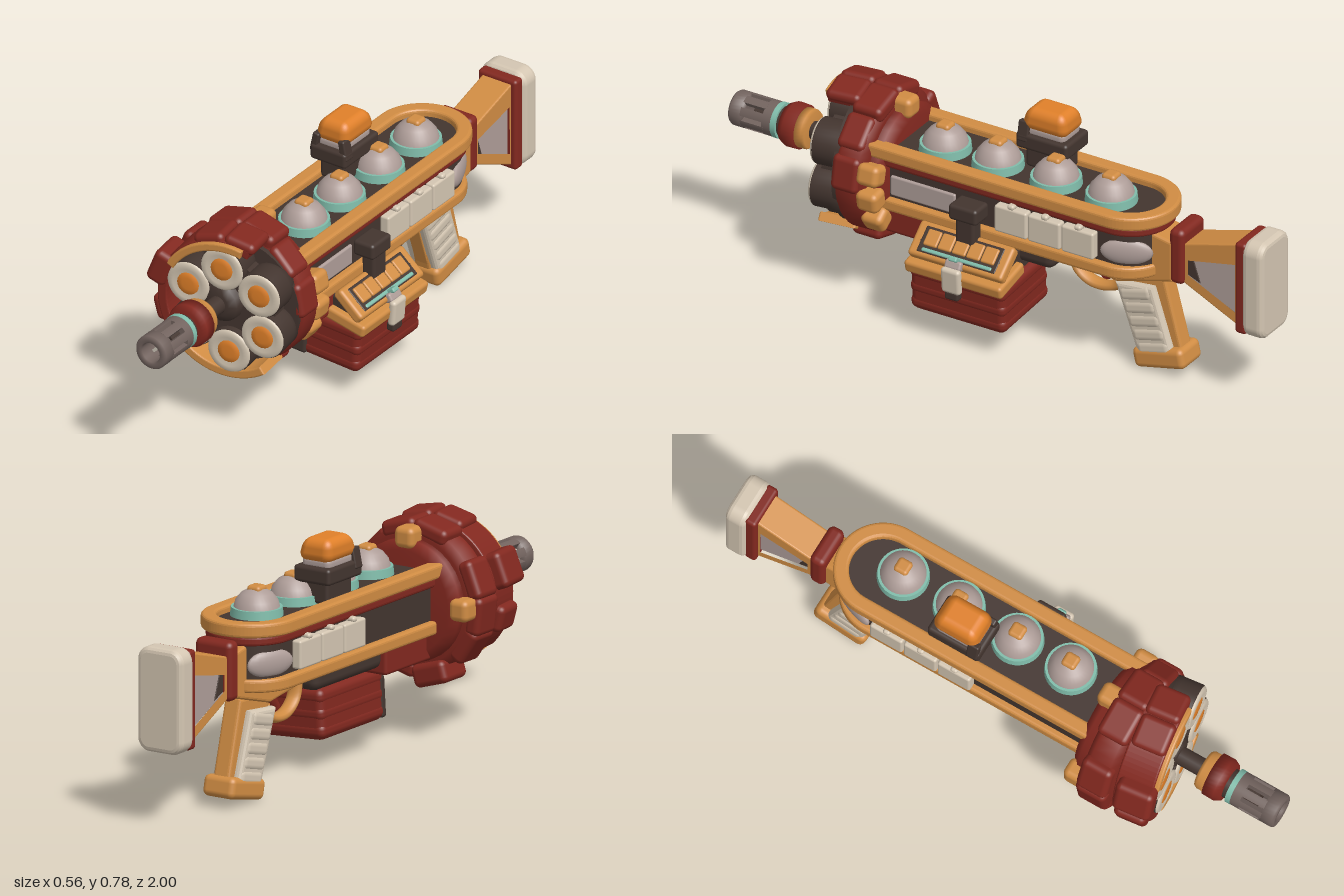
import * as THREE from 'three';
import { RoundedBoxGeometry } from 'three/addons/geometries/RoundedBoxGeometry.js';

const paint = (name, color) => Object.assign(new THREE.MeshStandardMaterial({ color }), { name });
const red = paint('brick red', 0x82281f);
const wood = paint('ochre', 0xd08c43);
const orange = paint('bright orange', 0xe08029);
const dark = paint('dark brown', 0x43352f);
const cream = paint('cream', 0xd4c6b2);
const grey = paint('mauve grey', 0xae9d98);
const steel = paint('gun steel', 0x72635e);
const teal = paint('teal', 0x80bcaa);

function add(parent, name, geo, mat, p = [0, 0, 0], r = [0, 0, 0]) {
  const m = new THREE.Mesh(geo, mat);
  m.name = name;
  m.position.set(...p);
  m.rotation.set(...r);
  parent.add(m);
  return m;
}
function group(parent, name, p = [0, 0, 0], r = [0, 0, 0]) {
  const g = new THREE.Group();
  g.name = name;
  g.position.set(...p);
  g.rotation.set(...r);
  parent.add(g);
  return g;
}
const box = (w, h, d, r = 0.012) => new RoundedBoxGeometry(w, h, d, 3, Math.min(r, w / 2.1, h / 2.1, d / 2.1));
// Box given by its limits on each axis
const block = (g, name, mat, x0, x1, y0, y1, z0, z1, r) =>
  add(g, name, box(x1 - x0, y1 - y0, z1 - z0, r), mat, [(x0 + x1) / 2, (y0 + y1) / 2, (z0 + z1) / 2]);
// Solid of revolution along z from [radius, z] pairs
const turned = (pts, seg = 32) =>
  new THREE.LatheGeometry(pts.map(([r, z]) => new THREE.Vector2(r, z)), seg).rotateX(Math.PI / 2);
const rod = (r, z0, z1, seg = 32) =>
  new THREE.CylinderGeometry(r, r, z1 - z0, seg).rotateX(Math.PI / 2).translate(0, 0, (z0 + z1) / 2);
const extrude = (shape, depth, bevel) => new THREE.ExtrudeGeometry(shape, {
  depth: depth - 2 * bevel, bevelEnabled: bevel > 0, bevelSize: bevel, bevelThickness: bevel,
  bevelOffset: -bevel, bevelSegments: 3, curveSegments: 20,
}).translate(0, 0, bevel);
// Side outline in [z, y], extruded across x
const outline = (pts) => pts.map(([z, y]) => new THREE.Vector2(-z, y));
function sidePlate(pts, width, hole, bevel = 0.01) {
  const s = new THREE.Shape(outline(pts));
  if (hole) s.holes.push(new THREE.Path(outline(hole)));
  return extrude(s, width, bevel).rotateY(Math.PI / 2).translate(-width / 2, 0, 0);
}
// Plan outline: straight front, round back
function plan(Type, h, front, back) {
  const s = new Type();
  s.moveTo(-h, front);
  s.lineTo(-h, back + h);
  s.absarc(0, back + h, h, Math.PI, 2 * Math.PI, false);
  s.lineTo(h, front);
  s.closePath();
  return s;
}
function layer(h, front, back, y0, y1, inner) {
  const s = plan(THREE.Shape, h, front, back);
  if (inner) s.holes.push(plan(THREE.Path, inner, front - 0.02, back + h - inner));
  return extrude(s, y1 - y0, 0.01).rotateX(Math.PI / 2).translate(0, y1, 0);
}
function arcPlate(r0, r1, a0, a1, depth, bevel = 0.006) {
  const s = new THREE.Shape();
  s.absarc(0, 0, r1, a0, a1, false);
  s.absarc(0, 0, r0, a1, a0, true);
  s.closePath();
  return extrude(s, depth, bevel);
}
const rad = THREE.MathUtils.degToRad;
// Rounded lug standing on a circle: angle, radius, size along [radius, rim, z], middle z
function lug(g, name, mat, deg, r, size, z) {
  const t = rad(deg);
  add(g, name, box(...size, 0.02), mat, [Math.cos(t) * r, Math.sin(t) * r, z], [0, 0, t]);
}

function buildBody(root) {
  const g = group(root, 'body', [0.004, 0, 0]);
  add(g, 'core', layer(0.125, 0.42, -0.6, 0.37, 0.568), dark);
  add(g, 'topRail', layer(0.158, 0.42, -0.63, 0.545, 0.592, 0.108), wood);
  add(g, 'redTrim', layer(0.142, 0.42, -0.615, 0.515, 0.548), red);
  add(g, 'lowerRail', layer(0.148, 0.4, -0.61, 0.362, 0.405), wood);
  add(g, 'rearFrame', sidePlate([[-0.16, 0.38], [-0.16, 0.34], [-0.45, 0.3], [-0.66, 0.36], [-0.66, 0.5], [-0.56, 0.52]], 0.12), wood);
  block(g, 'underBlock', red, -0.11, 0.12, 0.27, 0.38, 0.12, 0.42);
  block(g, 'underCasing', dark, -0.09, 0.1, 0.29, 0.38, -0.24, 0.14, 0.03);
  block(g, 'frontPanel', grey, 0.12, 0.134, 0.415, 0.485, 0.1, 0.34);
  for (const s of [-1, 1]) {
    add(g, 'rearPanel', new THREE.SphereGeometry(1, 20, 12).scale(0.02, 0.045, 0.085), grey, [s * 0.106, 0.452, -0.52], [0, s * 0.4, 0]);
    for (let i = 0; i < 3; i++) {
      const z = -0.12 - i * 0.124;
      add(g, 'sidePlate', box(0.035, 0.094, 0.119, 0.008), cream, [s * 0.142, 0.463, z]);
      add(g, 'plateClip', box(0.036, 0.018, 0.025), cream, [s * 0.142, 0.515, z]);
    }
  }
  // Row of domes on the top deck
  const dome = [[0.075, 0], [0.068, 0.026], [0.05, 0.048], [0.026, 0.062], [0, 0.066]].map((p) => new THREE.Vector2(...p));
  for (const z of [-0.41, -0.205, 0.01, 0.205]) {
    const d = group(g, 'dome', [0.02, 0.575, z]);
    add(d, 'domeBase', new THREE.CylinderGeometry(0.082, 0.085, 0.03, 32), teal, [0, 0.006, 0]);
    add(d, 'domeShell', new THREE.LatheGeometry(dome, 32), grey, [0, 0.016, 0]);
    add(d, 'domeKnob', box(0.05, 0.028, 0.05), wood, [0, 0.076, 0]);
  }
}

function buildSight(root) {
  const g = group(root, 'sight', [-0.062, 0, -0.138]);
  block(g, 'sightFoot', dark, -0.045, 0.05, 0.57, 0.66, -0.07, 0.07);
  block(g, 'sightBase', dark, -0.068, 0.07, 0.64, 0.695, -0.095, 0.095);
  block(g, 'sightBody', grey, -0.055, 0.055, 0.68, 0.725, -0.075, 0.075, 0.02);
  // Cap narrows towards its top
  const cap = box(0.126, 0.076, 0.168, 0.03);
  const v = cap.attributes.position;
  for (let i = 0; i < v.count; i++) {
    const k = 1 - 0.22 * (v.getY(i) / 0.076 + 0.5) ** 2;
    v.setX(i, v.getX(i) * k);
    v.setZ(i, v.getZ(i) * k);
  }
  add(g, 'sightCap', cap, orange, [0.001, 0.744, -0.002]);
  for (const s of [-1, 1]) add(g, 'sightPost', box(0.024, 0.07, 0.04, 0.006), dark, [s * 0.054, 0.7, 0.07], [0, 0, s * 0.2]);
}

function buildStock(root) {
  const g = group(root, 'stock', [-0.004, 0, 0]);
  block(g, 'stockCollar', red, -0.07, 0.07, 0.355, 0.55, -0.7, -0.645, 0.02);
  add(g, 'stockFrame', sidePlate(
    [[-0.68, 0.5], [-0.91, 0.565], [-0.91, 0.26], [-0.68, 0.37]], 0.112,
    [[-0.705, 0.453], [-0.89, 0.49], [-0.89, 0.305], [-0.705, 0.392]], 0.006), wood);
  add(g, 'stockPanel', sidePlate([[-0.69, 0.475], [-0.9, 0.51], [-0.9, 0.29], [-0.69, 0.385]], 0.084, null, 0.004), grey);
  add(g, 'stockBrace', sidePlate([[-0.7, 0.46], [-0.72, 0.46], [-0.75, 0.37], [-0.7, 0.39]], 0.09, null, 0.004), dark);
  block(g, 'buttPlate', red, -0.074, 0.074, 0.25, 0.575, -0.935, -0.893);
  // Butt pad with generously rounded corners
  const pad = new THREE.Shape();
  for (const [x, y, a] of [[0.041, 0.542, 0], [-0.041, 0.542, 90], [-0.041, 0.29, 180], [0.041, 0.29, 270]])
    pad.absarc(x, y, 0.045, rad(a), rad(a + 90), false);
  add(g, 'buttPad', extrude(pad, 0.075, 0.018), cream, [-0.002, 0, -1]);
}

function buildGrip(root) {
  const g = group(root, 'grip', [-0.014, 0, 0]);
  add(g, 'gripSpine', sidePlate([[-0.43, 0.34], [-0.6, 0.34], [-0.675, 0.06], [-0.505, 0.04]], 0.062), wood);
  // Side panels with shallow ribs that follow the slant of the grip
  add(g, 'gripPanel', sidePlate([[-0.428, 0.285], [-0.57, 0.3], [-0.645, 0.07], [-0.508, 0.06]], 0.108, null, 0.015), cream);
  add(g, 'gripStrap', sidePlate([[-0.424, 0.29], [-0.45, 0.29], [-0.53, 0.06], [-0.502, 0.06]], 0.05, null, 0.004), wood);
  for (let i = 0; i < 5; i++)
    add(g, 'gripRib', box(0.116, 0.055, 0.13, 0.022), cream, [0, 0.26 - i * 0.044, -0.506 - i * 0.0165], [0.25, 0, 0]);
  add(g, 'gripFoot', box(0.12, 0.07, 0.19, 0.02), wood, [0, 0.052, -0.592], [0.22, 0, 0]);
  const guard = new THREE.CatmullRomCurve3([[0.36, -0.245], [0.27, -0.262], [0.232, -0.31], [0.228, -0.37], [0.25, -0.42], [0.31, -0.445]]
    .map(([y, z]) => new THREE.Vector3(0, y, z)));
  add(g, 'triggerGuard', new THREE.TubeGeometry(guard, 24, 0.016, 10).scale(1.6, 1, 1), wood);
  const pull = new THREE.CatmullRomCurve3([[0.35, -0.35], [0.3, -0.385], [0.262, -0.365]].map(([y, z]) => new THREE.Vector3(0, y, z)));
  add(g, 'trigger', new THREE.TubeGeometry(pull, 10, 0.018, 8), red);
}

function buildMagazine(root) {
  const g = group(root, 'magazine');
  const tilt = group(g, 'magazineCase', [0.098, 0.18, 0.035], [0, 0, -0.06]);
  add(tilt, 'caseBody', box(0.272, 0.17, 0.348, 0.025), red);
  for (let i = 0; i < 3; i++) add(tilt, 'caseRib', box(0.276, 0.05, 0.352, 0.022), red, [0, -0.055 + i * 0.056, 0]);
  add(tilt, 'caseCorner', box(0.08, 0.14, 0.03), dark, [-0.098, -0.01, 0.168]);
  block(g, 'trayCore', dark, 0.04, 0.215, 0.25, 0.34, -0.12, 0.19);
  add(g, 'trayRim', box(0.15, 0.044, 0.36), wood, [0.185, 0.268, 0.035], [0, 0, -0.22]);
  // Sloping lid: ochre frame, dark recess, teal strip and ochre ribs
  const lid = group(g, 'trayLid', [0.193, 0.325, 0.035], [0, 0, -0.72]);
  add(lid, 'lidPlate', box(0.12, 0.04, 0.35), wood);
  add(lid, 'lidRecess', box(0.09, 0.044, 0.29, 0.004), dark);
  add(lid, 'lidStrip', box(0.014, 0.05, 0.26, 0.006), teal, [0.034, 0, 0]);
  for (let i = 0; i < 5; i++) add(lid, 'lidRib', box(0.056, 0.018, 0.05, 0.006), wood, [-0.008, 0.019, -0.106 + i * 0.053]);
  add(g, 'latchArm', box(0.026, 0.09, 0.07), cream, [0.262, 0.255, 0.035], [0, 0, -0.08]);
  add(g, 'latchTop', box(0.03, 0.03, 0.06, 0.008), grey, [0.245, 0.303, 0.035], [0, 0, 0.5]);
  add(g, 'latchKnob', box(0.03, 0.03, 0.05, 0.008), dark, [0.252, 0.2, 0.035]);
  add(g, 'latchPin', box(0.035, 0.016, 0.03, 0.005), teal, [0.244, 0.322, 0.035], [0, 0, 0.6]);
  block(g, 'catchTower', dark, 0.145, 0.195, 0.35, 0.45, -0.005, 0.065);
  block(g, 'catchHead', dark, 0.125, 0.205, 0.435, 0.49, -0.02, 0.085);
}

function buildDrum(root) {
  const g = group(root, 'drumHousing', [-0.016, 0.45, 0]);
  add(g, 'backPlate', turned([[0, 0.345], [0.17, 0.345], [0.2, 0.37], [0.2, 0.43], [0, 0.43]]), red);
  add(g, 'collar', turned([[0, 0.395], [0.21, 0.395], [0.236, 0.415], [0.238, 0.485], [0.222, 0.51], [0, 0.51]], 40), red);
  for (const a of [10, 45]) lug(g, 'collarLug', red, a, 0.215, [0.055, 0.12, 0.1], 0.46);
  for (const a of [75, 105, 158, 187, 214, 285]) lug(g, 'collarLug', red, a, 0.229, [0.055, 0.13, 0.11], 0.45);
  lug(g, 'lowerLug', red, 253, 0.244, [0.075, 0.13, 0.13], 0.44);
  for (const a of [-10, 14, 90, 180, 325]) lug(g, 'backClamp', wood, a, 0.208, [0.07, 0.072, 0.08], 0.38);
  // Revolving front, turned slightly towards the left side
  const d = group(root, 'revolver', [-0.004, 0.45, 0.5], [0, 0.12, 0]);
  add(d, 'rotorPlate', rod(0.218, -0.02, 0.035, 40), dark);
  add(d, 'rotor', rod(0.165, -0.03, 0.095), dark);
  add(d, 'hood', arcPlate(0.212, 0.246, rad(70), rad(225), 0.125), red, [0, 0, -0.01]);
  for (const a of [80, 106]) lug(d, 'hoodLug', red, a, 0.243, [0.04, 0.11, 0.12], 0.055);
  lug(d, 'hoodLug', red, 159, 0.25, [0.07, 0.12, 0.13], 0.065);
  lug(d, 'hoodLug', red, 195, 0.248, [0.045, 0.09, 0.11], 0.055);
  add(d, 'upperArc', arcPlate(0.212, 0.24, rad(75), rad(150), 0.03), wood, [0, 0, 0.1]);
  add(d, 'lowerArc', arcPlate(0.212, 0.242, rad(232), rad(305), 0.13), wood, [0, 0, -0.01]);
  for (let i = 0; i < 6; i++) {
    const t = rad(35 + i * 60);
    const c = group(d, 'chamber', [Math.cos(t) * 0.146, Math.sin(t) * 0.146, 0]);
    add(c, 'chamberShell', turned([[0, -0.01], [0.074, -0.01], [0.077, 0.05], [0.077, 0.113], [0.073, 0.117], [0, 0.117]]), dark);
    add(c, 'chamberRim', turned([[0.074, 0.115], [0.074, 0.119], [0.068, 0.124], [0.052, 0.126], [0.038, 0.12], [0, 0.119]]), cream);
    add(c, 'chamberCore', turned([[0.039, 0.115], [0.038, 0.123], [0.02, 0.125], [0, 0.125]], 20), orange);
  }
}

function buildBarrel(root) {
  const g = group(root, 'barrel', [-0.012, 0.468, 0]);
  add(g, 'barrelSeat', turned([[0.075, 0.56], [0.065, 0.615], [0.04, 0.63], [0, 0.63]], 12), dark);
  add(g, 'barrelRod', rod(0.03, 0.5, 0.74, 20), dark);
  add(g, 'barrelRing', turned([[0, 0.715], [0.06, 0.715], [0.066, 0.725], [0.066, 0.752], [0, 0.752]]), wood);
  add(g, 'barrelSleeve', turned([[0, 0.75], [0.073, 0.75], [0.074, 0.79], [0.064, 0.81], [0, 0.81]]), red);
  add(g, 'barrelNeck', rod(0.05, 0.8, 0.835), dark);
  add(g, 'barrelTeal', rod(0.059, 0.825, 0.843), teal);
  // Slotted muzzle: two rings joined by curved bars around a dark core
  add(g, 'muzzleBack', rod(0.058, 0.842, 0.875), steel);
  add(g, 'muzzleCore', rod(0.036, 0.86, 0.92), dark);
  add(g, 'muzzleRing', turned([[0.034, 0.95], [0.058, 0.95], [0.058, 0.993], [0.053, 1], [0.038, 1], [0.034, 0.995], [0.034, 0.95]]), steel);
  for (let i = 0; i < 8; i++) {
    const a = rad(i * 45 + 8);
    add(g, 'muzzleBar', arcPlate(0.036, 0.058, a, a + rad(28), 0.085, 0), steel, [0, 0, 0.87]);
  }
}

export function createModel() {
  const root = new THREE.Group();
  root.name = 'revolverRifle';
  for (const build of [buildBody, buildSight, buildStock, buildGrip, buildMagazine, buildDrum, buildBarrel]) build(root);
  return root;
}
